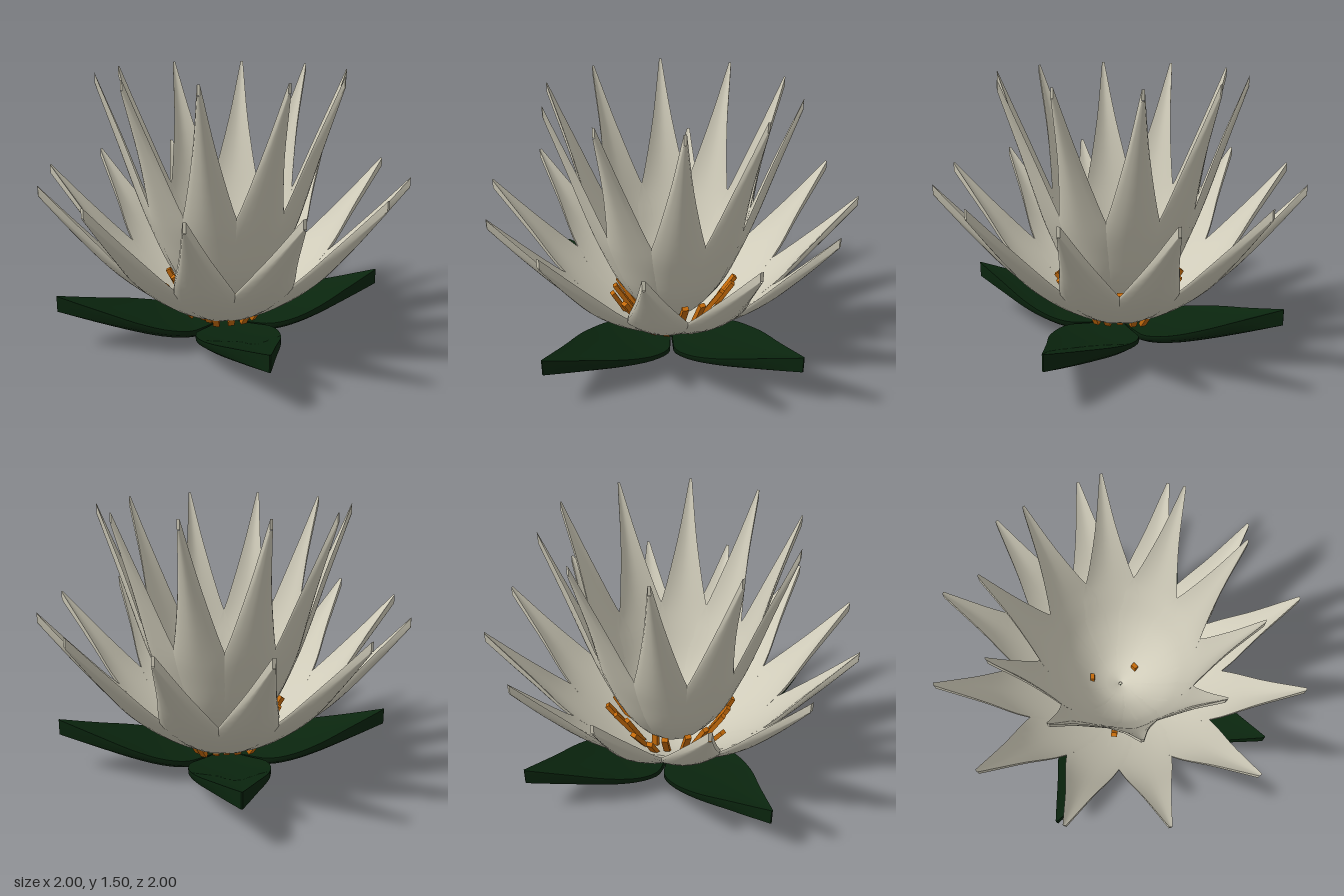
import * as THREE from 'three';
import { mergeGeometries } from 'three/addons/utils/BufferGeometryUtils.js';

// Grid surface from fn(u, v), both 0..1; faces look along du x dv
function grid(fn, nu, nv) {
  const pos = [], idx = [];
  for (let i = 0; i <= nu; i++) {
    for (let j = 0; j <= nv; j++) pos.push(...fn(i / nu, j / nv));
  }
  for (let i = 0; i < nu; i++) {
    for (let j = 0; j < nv; j++) {
      const a = i * (nv + 1) + j, b = a + nv + 1;
      idx.push(a, b, a + 1, b, b + 1, a + 1);
    }
  }
  const g = new THREE.BufferGeometry();
  g.setAttribute('position', new THREE.Float32BufferAttribute(pos, 3));
  g.setIndex(idx);
  g.computeVertexNormals();
  return g;
}

// Thick pointed leaf towards +z, curved around the y axis and keeled below;
// stations are [radius, height, half width] along the underside
function leafGeometry(stations, thick, tipFold) {
  const curve = new THREE.CatmullRomCurve3(stations.map((p) => new THREE.Vector3(...p)));
  const widest = Math.max(...stations.map((p) => p[2]));

  // s: -1..1 across the leaf, h: 0 underside, 1 upper side
  const at = (u, s, h) => {
    const p = curve.getPoint(u), t = curve.getTangent(u);
    const w = Math.max(p.z, 0.002);
    const angle = s * Math.min(w / Math.max(p.x, 0.01), 0.75);
    const fold = tipFold * THREE.MathUtils.smoothstep(u, 0.5, 0.9) * w * Math.abs(s) ** 1.5
      / Math.hypot(t.x, t.y);
    const r = p.x - t.y * fold;
    const keel = 0.7 * s * s * Math.min(1, w / widest);
    const y = p.y + t.x * fold + thick * (h + (1 - h) * keel);
    return [r * Math.sin(angle), y, r * Math.cos(angle)];
  };
  // Underside continues smoothly up both rims
  const under = (u, v) => {
    const s = 1.25 - 2.5 * v;
    return at(u, THREE.MathUtils.clamp(s, -1, 1), Math.abs(s) > 1.01 ? 1 : 0);
  };
  return mergeGeometries([
    grid((u, v) => at(u, v * 2 - 1, 1), 22, 8),
    grid(under, 22, 10),
    grid((a, b) => at(1, a * 2 - 1, b), 1, 1),
  ]);
}

export function createModel() {
  const flower = new THREE.Group();
  flower.name = 'waterLily';
  const material = (name, color) => {
    const m = new THREE.MeshStandardMaterial({ color });
    m.name = name;
    return m;
  };
  const petalMat = material('cream petal', 0xcfcbb9);
  const sepalMat = material('dark green', 0x0a250e);
  const stamenMat = material('orange', 0xc46a0a);

  function ring(name, geometry, mat, count, start) {
    const group = new THREE.Group();
    group.name = name + 'Ring';
    for (let i = 0; i < count; i++) {
      const mesh = new THREE.Mesh(geometry, mat);
      mesh.name = name;
      mesh.rotation.y = start + (i / count) * Math.PI * 2;
      group.add(mesh);
    }
    flower.add(group);
  }

  // Outer spreading petals
  ring('outerPetal', leafGeometry([
    [0.01, 0.1, 0.02], [0.2, 0.155, 0.12], [0.4, 0.27, 0.185],
    [0.62, 0.45, 0.15], [0.81, 0.665, 0.075], [1, 0.91, 0.008],
  ], 0.05, 0.25), petalMat, 12, 0);

  // Inner upright petals
  ring('innerPetal', leafGeometry([
    [0.01, 0.16, 0.02], [0.15, 0.235, 0.1], [0.3, 0.42, 0.165], [0.4, 0.64, 0.17],
    [0.475, 0.84, 0.12], [0.572, 1.14, 0.055], [0.675, 1.45, 0.007],
  ], 0.05, 0.3), petalMat, 10, 0);

  // Four thick green sepals
  ring('sepal', leafGeometry([
    [0.01, 0, 0.02], [0.17, 0.012, 0.15], [0.35, 0.04, 0.235],
    [0.52, 0.085, 0.2], [0.72, 0.145, 0.1], [0.933, 0.22, 0.004],
  ], 0.09, 0.1), sepalMat, 4, 0.396);

  // Stamens between the two petal rings
  const stamens = new THREE.Group();
  stamens.name = 'stamens';
  function addStamen(angle, radius, lean, length) {
    const pivot = new THREE.Group();
    pivot.name = 'stamenPivot';
    pivot.rotation.y = angle;
    const stamen = new THREE.Mesh(
      new THREE.BoxGeometry(0.035, length, 0.025).translate(0, length / 2, 0), stamenMat);
    stamen.name = 'stamen';
    stamen.position.set(0, 0.145, radius);
    stamen.rotation.x = lean;
    pivot.add(stamen);
    stamens.add(pivot);
  }
  let seed = 7;
  const rand = () => (seed = (seed * 16807) % 2147483647) / 2147483647;
  for (let i = 0; i < 20; i++) {
    addStamen((i / 20) * Math.PI * 2 + rand() * 0.2, 0.16 + rand() * 0.07, 0.45 + rand() * 0.2, 0.27);
  }
  // Two upright stamens that pierce the inner cup
  addStamen(Math.PI / 2, 0.12, 0, 0.16);
  addStamen(-Math.PI * 0.75, 0.17, 0, 0.2);
  flower.add(stamens);
  return flower;
}
